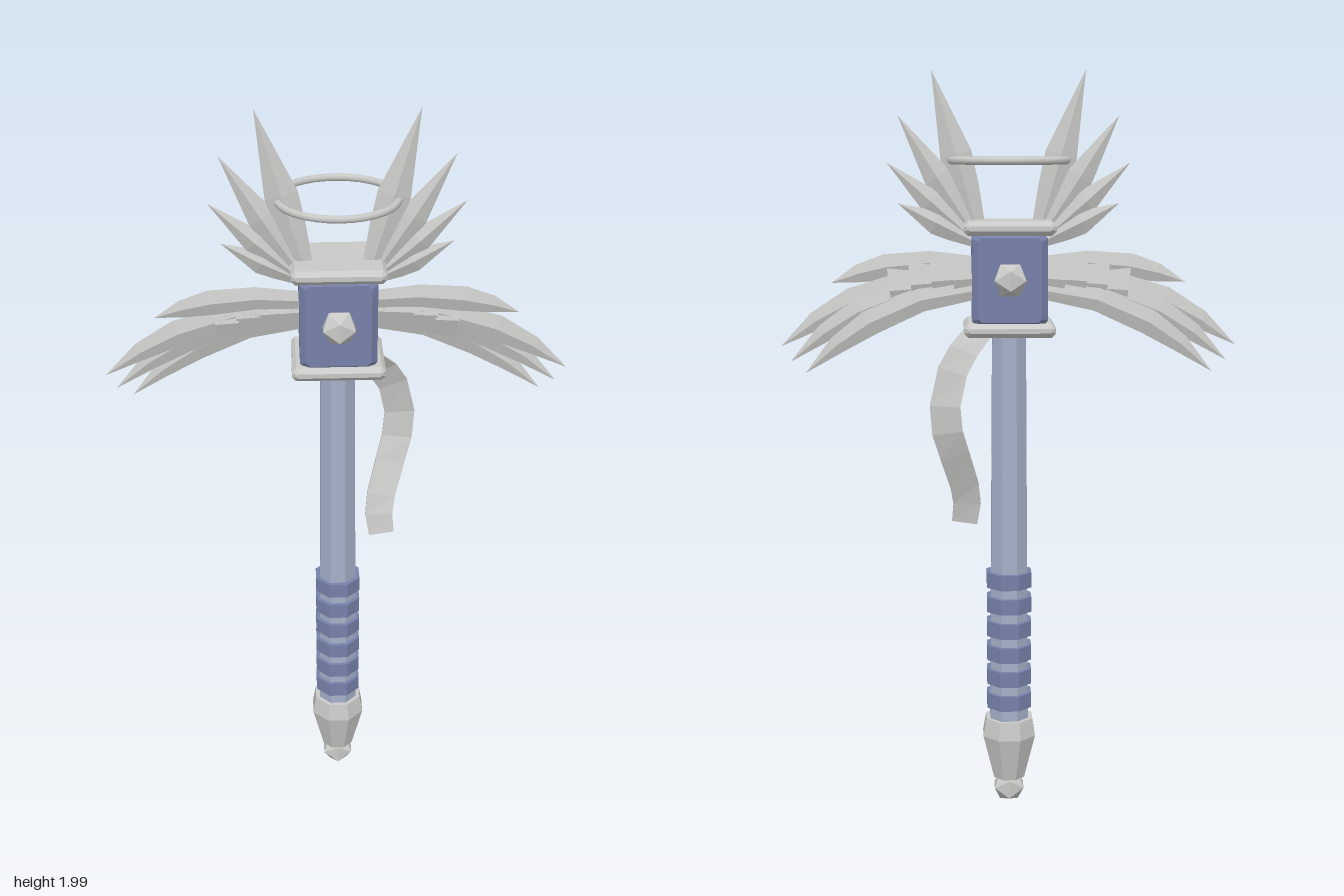
import * as THREE from 'three';

const V = (x, y, z) => new THREE.Vector3(x, y, z);

// Skin over a series of four-point rings, with capped ends
function loft(rings) {
  const pos = [];
  const tri = (...pts) => pts.forEach((p) => pos.push(p.x, p.y, p.z));
  for (let i = 0; i < rings.length - 1; i++) {
    for (let j = 0; j < 4; j++) {
      const k = (j + 1) % 4;
      const a = rings[i][j], b = rings[i][k], c = rings[i + 1][k], d = rings[i + 1][j];
      tri(a, b, c);
      tri(a, c, d);
    }
  }
  const s = rings[0], e = rings[rings.length - 1];
  tri(s[0], s[2], s[1]);
  tri(s[0], s[3], s[2]);
  tri(e[0], e[1], e[2]);
  tri(e[0], e[2], e[3]);
  const geo = new THREE.BufferGeometry();
  geo.setAttribute('position', new THREE.Float32BufferAttribute(pos, 3));
  geo.computeVertexNormals();
  return geo;
}

// Diamond-section blade along a bent path; profile rows are [t, width factor]
function blade(side, p0, p1, p2, width, depth, profile) {
  const pts = [p0, p1, p2].map((p) => V(p[0] * side, p[1], p[2]));
  const curve = new THREE.QuadraticBezierCurve3(...pts);
  return loft(profile.map(([t, f]) => {
    const c = curve.getPoint(t), tan = curve.getTangent(t);
    const n = V(-tan.y, tan.x, 0).normalize().multiplyScalar(width * f);
    const z = V(0, 0, depth * f);
    return [c.clone().add(n), c.clone().add(z), c.clone().sub(n), c.clone().sub(z)];
  }));
}

function flat(geo) {
  const g = geo.index ? geo.toNonIndexed() : geo;
  g.computeVertexNormals();
  return g;
}

// Box with all edges chamfered by c
function chamferBox(w, h, d, c) {
  const x = w / 2 - c, y = h / 2 - c;
  const k = Math.min(c, y) * 0.6;
  const shape = new THREE.Shape([
    [-x + k, -y], [x - k, -y], [x, -y + k], [x, y - k],
    [x - k, y], [-x + k, y], [-x, y - k], [-x, -y + k],
  ].map((p) => new THREE.Vector2(...p)));
  const geo = new THREE.ExtrudeGeometry(shape, {
    depth: d - 2 * c, bevelEnabled: true, bevelSegments: 1, bevelSize: c, bevelThickness: c,
  });
  geo.translate(0, 0, -d / 2 + c);
  return flat(geo);
}

export function createModel() {
  const model = new THREE.Group();
  model.name = 'wingedMace';
  const material = (name, color) => {
    const m = new THREE.MeshStandardMaterial({ color });
    m.name = name;
    return m;
  };
  const silver = material('silver', 0xc9c9c7);
  const steel = material('paleBlueSteel', 0xa5afc8);
  const blue = material('slateBlue', 0x7681aa);

  const add = (name, geo, mat, x = 0, y = 0, z = 0, parent = model) => {
    const mesh = new THREE.Mesh(geo, mat);
    mesh.name = name;
    mesh.position.set(x, y, z);
    parent.add(mesh);
    return mesh;
  };
  const octagon = (top, bottom, h) =>
    flat(new THREE.CylinderGeometry(top, bottom, h, 8).rotateY(Math.PI / 8));

  // Shaft and grip bands
  add('shaft', octagon(0.048, 0.056, 1.1), steel, 0, 0.79, 0);
  for (let i = 0; i < 6; i++) {
    add('gripBand', octagon(0.065, 0.065, 0.042), blue, 0, 0.308 + i * 0.0684, 0);
  }

  // Pommel and its end gem
  const pommelProfile = [[0, 0.255], [0.068, 0.255], [0.077, 0.205], [0.045, 0.08], [0, 0.08]]
    .reverse().map((p) => new THREE.Vector2(...p));
  add('pommel', flat(new THREE.LatheGeometry(pommelProfile, 8).rotateY(Math.PI / 8)), silver);
  add('pommelGem', flat(new THREE.IcosahedronGeometry(0.047, 0)), silver, 0, 0.05, 0);

  // Head block between two plates
  add('headBlock', chamferBox(0.196, 0.25, 0.19, 0.016), blue, 0, 1.467, 0);
  for (const y of [1.337, 1.599]) {
    add('headPlate', chamferBox(0.238, 0.036, 0.214, 0.012), silver, 0, y, 0);
  }

  // Faceted studs on front and back
  for (const s of [1, -1]) {
    add('headStud', flat(new THREE.IcosahedronGeometry(0.048, 0)), silver, 0, 1.468, s * 0.102);
  }

  // Halo, open by a small gap at the right
  const gap = 0.12;
  const halo = new THREE.TorusGeometry(0.15, 0.01, 8, 32, Math.PI * 2 - gap);
  halo.rotateX(Math.PI / 2).rotateY(Math.PI + gap);
  add('halo', halo, silver, 0, 1.77, 0).material = silver;
  for (const a of [0, -gap]) {
    const cap = new THREE.SphereGeometry(0.01, 8, 6);
    add('haloEnd', cap, silver, -0.15 * Math.cos(a), 1.77, 0.15 * Math.sin(a));
  }

  // Wings: tip, bend and root of each feather, mirrored left and right
  const spike = [[0, 0.45], [0.3, 0.85], [0.5, 1], [1, 0]];
  const plume = [[0, 0.7], [0.3, 0.9], [0.6, 1], [0.8, 0.7], [1, 0]];
  const upperFeathers = [
    [[0.075, 1.57], [0.2, 2.0], 0.042],
    [[0.085, 1.57], [0.288, 1.885], 0.036],
    [[0.09, 1.565], [0.318, 1.765], 0.032],
    [[0.09, 1.56], [0.29, 1.66], 0.032],
  ];
  const lowerFeathers = [
    [[0.09, 1.5, 0], [0.29, 1.525, 0], [0.465, 1.455, -0.005], 0.034],
    [[0.09, 1.475, -0.008], [0.37, 1.475, -0.012], [0.6, 1.29, -0.018], 0.036],
    [[0.09, 1.455, -0.016], [0.36, 1.455, -0.028], [0.575, 1.25, -0.022], 0.034],
    [[0.09, 1.435, -0.022], [0.33, 1.425, -0.045], [0.535, 1.222, -0.038], 0.034],
  ];
  for (const side of [1, -1]) {
    const label = side > 0 ? 'left' : 'right';
    const upper = new THREE.Group(), lower = new THREE.Group();
    upper.name = label + 'UpperWing';
    lower.name = label + 'LowerWing';
    model.add(upper, lower);

    upperFeathers.forEach(([a, b, w], i) => {
      const z = 0.022 - i * 0.003;
      const mid = [(a[0] + b[0]) / 2, (a[1] + b[1]) / 2, z];
      add('upperFeather', blade(side, [...a, z], mid, [...b, z], w, 0.014, spike), silver, 0, 0, 0, upper);
    });
    lowerFeathers.forEach(([a, m, b, w]) => {
      add('lowerFeather', blade(side, a, m, b, w, 0.011, plume), silver, 0, 0, 0, lower);
    });

    // Stepped arm segments behind the feather roots
    for (let i = 0; i < 4; i++) {
      const x = 0.085 + i * 0.055, y = 1.467 - i * i * 0.003;
      const geo = blade(side, [x, y, -0.014], [x + 0.03, y, -0.016], [x + 0.062, y - 0.004, -0.018],
        0.058, 0.02, [[0, 0.8], [1, 1]]);
      add('armSegment', geo, silver, 0, 0, 0, lower);
    }
  }

  // Trailing ribbon: x of inner and outer edge, y of each edge, z
  const ribbon = [
    [0.05, 0.118, 1.31, 1.335, -0.015], [0.085, 0.155, 1.265, 1.295, -0.045],
    [0.113, 0.187, 1.215, 1.24, -0.064], [0.13, 0.21, 1.135, 1.14, -0.078],
    [0.124, 0.204, 1.07, 1.06, -0.073], [0.107, 0.183, 1.01, 0.99, -0.053],
    [0.082, 0.157, 0.92, 0.905, -0.02], [0.076, 0.15, 0.86, 0.86, -0.004],
    [0.086, 0.154, 0.8, 0.81, 0.006],
  ];
  const t = 0.004;
  add('ribbon', loft(ribbon.map(([xi, xo, yi, yo, z]) => [
    V(xo, yo, z - t), V(xo, yo, z + t), V(xi, yi, z + t), V(xi, yi, z - t),
  ])), silver);

  return model;
}
